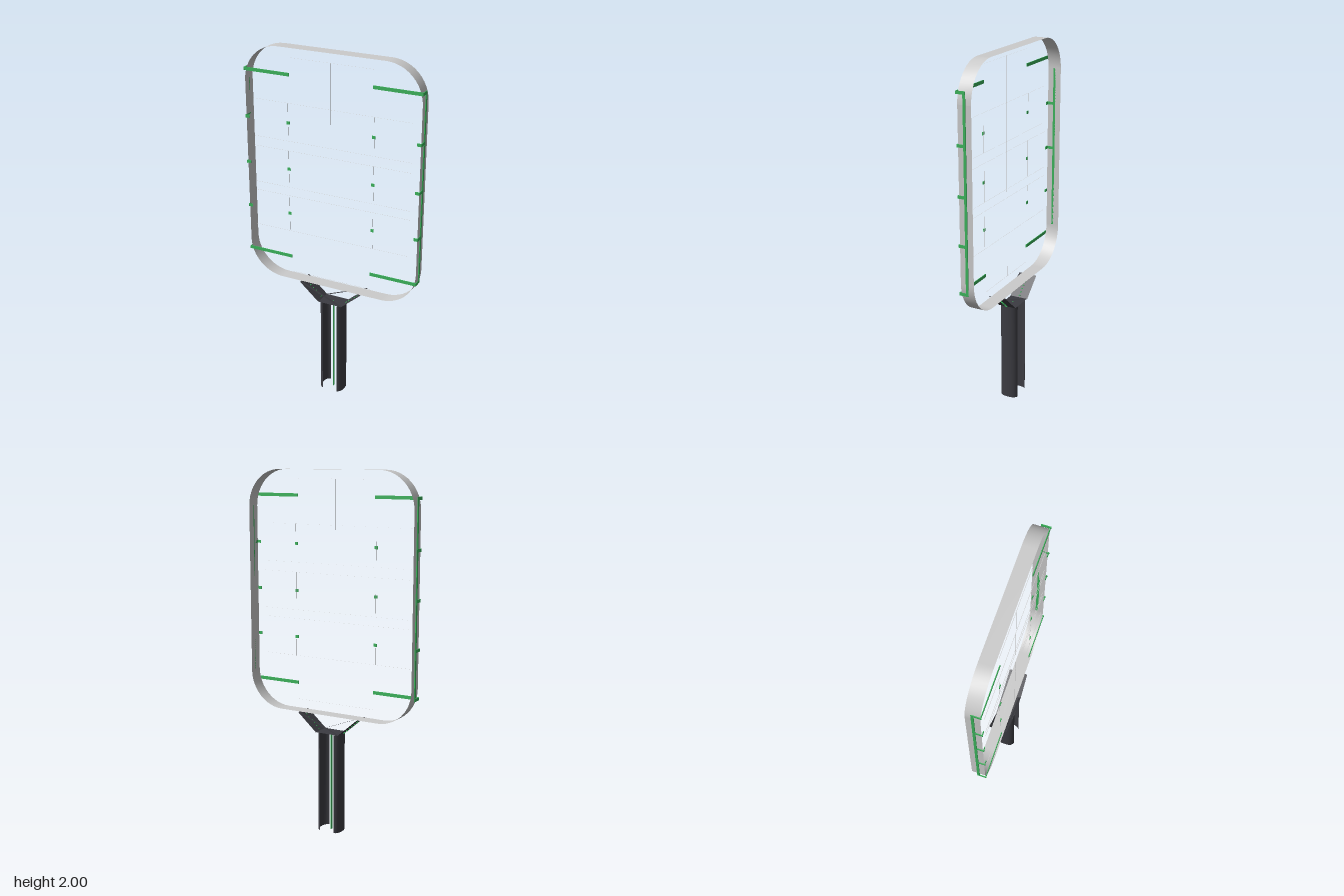
import * as THREE from 'three';

const mat = (color) => new THREE.MeshStandardMaterial({ color, side: THREE.DoubleSide });
const grey = mat(0xcccccc), dark = mat(0x3c3c42), green = mat(0x3cb45c);

// Ribbon: sweeps a list of [a, b] points from t0 to t1; place(a, b, t) gives the position
function ribbon(points, t0, t1, place) {
  const pos = [], index = [];
  points.forEach(([a, b], i) => {
    pos.push(...place(a, b, t0), ...place(a, b, t1));
    if (i) index.push(2 * i - 2, 2 * i, 2 * i - 1, 2 * i - 1, 2 * i, 2 * i + 1);
  });
  const g = new THREE.BufferGeometry();
  g.setAttribute('position', new THREE.Float32BufferAttribute(pos, 3));
  g.setIndex(index);
  g.computeVertexNormals();
  return g;
}
const alongZ = (x, y, z) => [x, y, z];
const alongY = (x, z, y) => [x, y, z];

export function createModel() {
  const model = new THREE.Group();
  const add = (name, geometry, material, parent = model) => {
    const m = new THREE.Mesh(geometry, material);
    m.name = name;
    parent.add(m);
    return m;
  };
  const group = (name) => {
    const g = new THREE.Group();
    g.name = name;
    model.add(g);
    return g;
  };
  const box = (name, parent, material, w, h, d, x, y, z) => {
    const m = add(name, new THREE.BoxGeometry(w, h, d), material, parent);
    m.position.set(x, y, z);
    return m;
  };

  // Head: open band with rounded corners
  const X = 0.505, bottom = 0.67, top = 2, r = 0.2, outline = [];
  const corners = [[1, top - r, 0], [-1, top - r, 1], [-1, bottom + r, 2], [1, bottom + r, 3]];
  for (const [s, cy, quarter] of corners) {
    for (let i = 0; i <= 12; i++) {
      const a = (quarter + i / 12) * Math.PI / 2;
      outline.push([s * (X - r) + r * Math.cos(a), cy + r * Math.sin(a)]);
    }
  }
  outline.push(outline[0]);
  add('headBand', ribbon(outline, -0.038, 0.038, alongZ), grey);

  // Hairline panel edges on the front plane
  const seams = group('panelSeams');
  const seam = (x0, y0, x1, y1) =>
    add('panelSeam', ribbon([[x0, y0], [x1, y1]], 0.037, 0.039, alongZ), grey, seams);
  for (const y of [1.6, 1.335, 1.075]) {
    for (const dy of [-0.105, 0.105]) seam(-0.46, y + dy, 0.46, y + dy);
    for (const x of [-0.25, 0.25]) seam(x, y - 0.105, x, y + 0.105);
  }
  for (const y of [0.72, 1.95]) seam(-0.24, y, 0.24, y);
  seam(0, 0.72, 0, 1.95);

  // Green side strips with brackets wrapping to the front
  for (const s of [-1, 1]) {
    const trim = group(s > 0 ? 'leftTrim' : 'rightTrim');
    box('sideStrip', trim, green, 0.004, 1.06, 0.014, s * 0.507, 1.337, 0);
    for (const y of [0.815, 1.077, 1.337, 1.598, 1.86]) {
      box('sideTab', trim, green, 0.004, 0.016, 0.05, s * 0.507, y, 0.02);
      if (y < 0.9 || y > 1.8) {
        box('frontBar', trim, green, 0.27, 0.018, 0.004, s * 0.374, y, 0.041);
      } else {
        box('outerTab', trim, green, 0.024, 0.016, 0.004, s * 0.497, y, 0.041);
        box('innerTab', trim, green, 0.018, 0.016, 0.004, s * 0.248, y, 0.041);
      }
    }
  }

  // Fork between handle and head: sloping walls, crossed braces, row of small lights
  const fork = group('fork');
  for (const s of [-1, 1]) {
    add('forkWall', ribbon([[s * 0.07, 0.57], [s * 0.185, 0.67]], -0.053, 0.053, alongZ), dark, fork);
    add('forkBrace', ribbon([[s * 0.07, 0.57], [-s * 0.185, 0.67]], s * 0.04, s * 0.053, alongZ), dark, fork);
    for (let i = 0; i < 7; i++) {
      const t = (i + 0.5) / 7;
      box('forkLight', fork, green, 0.008, 0.006, 0.01, s * (0.073 + 0.115 * t), 0.57 + 0.1 * t, 0);
    }
  }

  // Handle: two curved shells open at front and back, a cap and a thin light line
  const handle = group('handle');
  const section = [[0.045, 0.052], [0.054, 0.048], [0.063, 0.038], [0.069, 0.022]];
  const shell = [...section, [0.07, 0], ...section.map(([x, z]) => [x, -z]).reverse()];
  for (const s of [-1, 1]) {
    add('handleShell', ribbon(shell.map(([x, z]) => [s * x, z]), 0, 0.57, alongY), dark, handle);
  }
  add('handleCap', ribbon([[-0.07, 0.57], [0.07, 0.57]], -0.05, 0.05, alongZ), dark, handle);
  box('handleLightLine', handle, green, 0.004, 0.57, 0.014, 0, 0.285, 0);

  return model;
}
